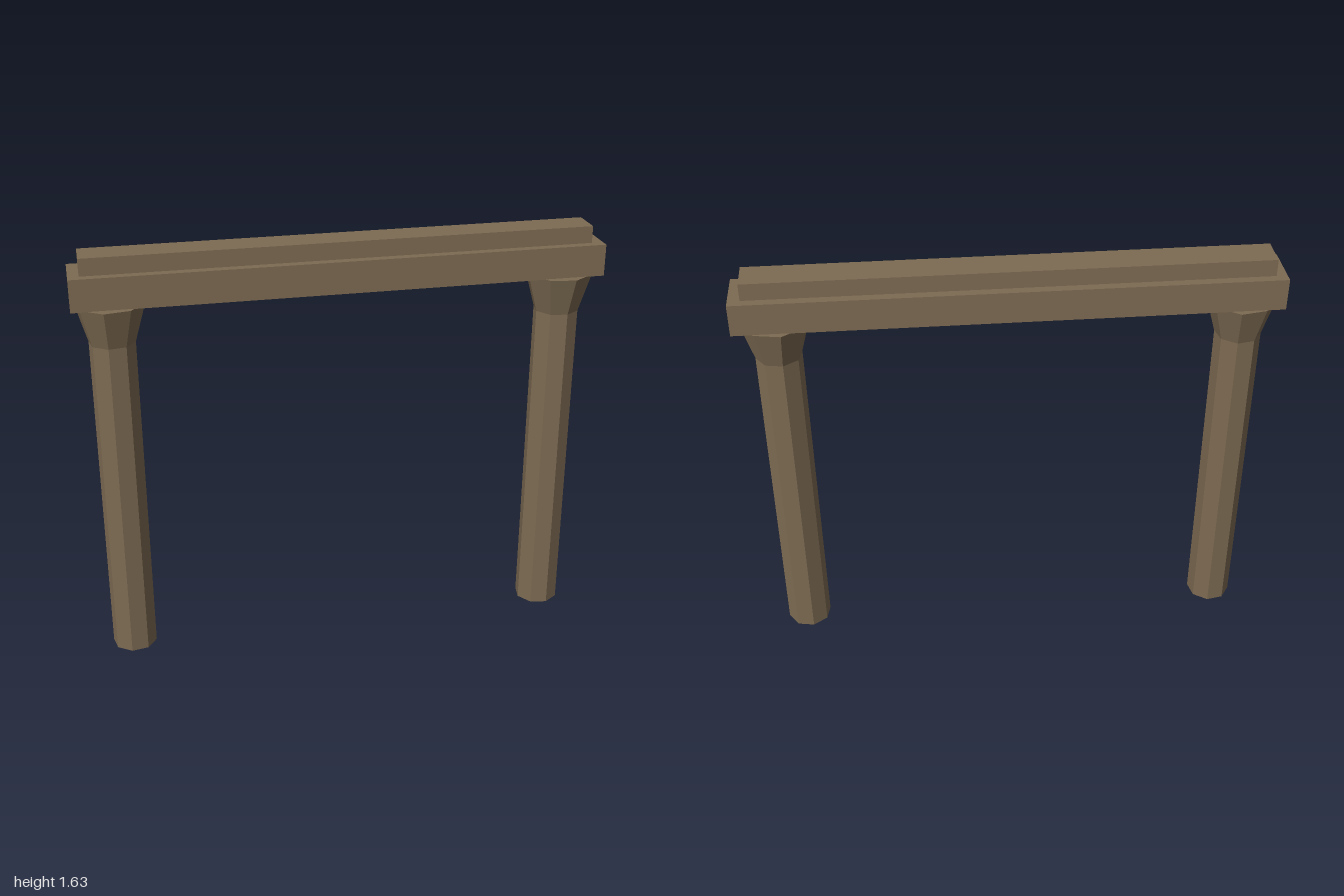
import * as THREE from 'three';

export function createModel() {
  const model = new THREE.Group();
  model.name = 'postAndBeamFrame';

  const wood = new THREE.MeshStandardMaterial({ color: 0x7d6b52 });
  wood.name = 'brown wood';
  wood.flatShading = true;
  wood.side = THREE.DoubleSide; // posts are hollow and open at the foot

  const add = (name, geometry, x, y, z) => {
    const mesh = new THREE.Mesh(geometry, wood);
    mesh.name = name;
    mesh.position.set(x, y, z);
    model.add(mesh);
  };

  // Eight-sided posts with flared, closed heads, mirrored in their twist
  const profile = [[0.0865, 0], [0.0865, 1.29], [0.13, 1.44], [0, 1.44]]
    .map(([r, y]) => new THREE.Vector2(r, y));
  const twist = THREE.MathUtils.degToRad(12);
  add('leftPost', new THREE.LatheGeometry(profile, 8, twist), 0.849, 0, 0);
  add('rightPost', new THREE.LatheGeometry(profile, 8, -twist), -0.859, 0, 0);

  // Crossbeam and the narrower rail on top of it
  add('crossbeam', new THREE.BoxGeometry(2, 0.122, 0.192), 0, 1.5, -0.007);
  add('topRail', new THREE.BoxGeometry(1.914, 0.066, 0.125), -0.002, 1.593, -0.007);

  return model;
}
